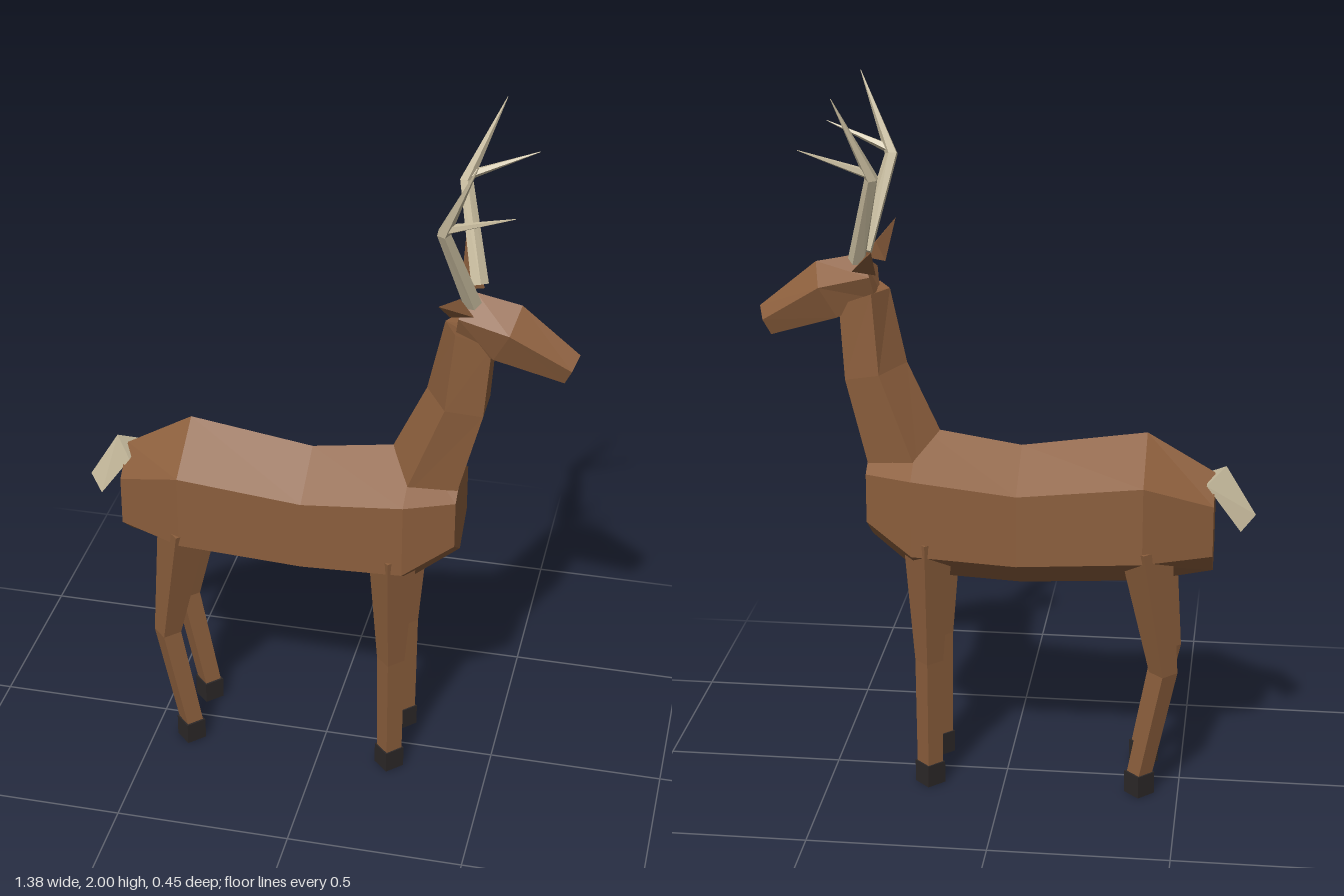
import * as THREE from 'three';

const mat = (name, color) => {
  const m = new THREE.MeshStandardMaterial({ color });
  m.name = name;
  m.flatShading = true;
  return m;
};

// Skin a list of equal-length rings of [x, y, z] points, with closed ends and flat facets.
function loft(rings) {
  const tris = [];
  const n = rings[0].length;
  for (let i = 0; i < rings.length - 1; i++) {
    for (let j = 0; j < n; j++) {
      const k = (j + 1) % n;
      const [a, b, c, d] = [rings[i][j], rings[i][k], rings[i + 1][k], rings[i + 1][j]];
      tris.push([a, b, c], [a, c, d]);
    }
  }
  const last = rings[rings.length - 1];
  for (let j = 1; j < n - 1; j++) {
    tris.push([rings[0][0], rings[0][j + 1], rings[0][j]], [last[0], last[j], last[j + 1]]);
  }
  // Turn every face outward whichever way the rings were wound
  let volume = 0;
  for (const [a, b, c] of tris) {
    volume += new THREE.Vector3(...a).dot(new THREE.Vector3(...b).cross(new THREE.Vector3(...c)));
  }
  const ordered = volume < 0 ? tris.map(([a, b, c]) => [a, c, b]) : tris;
  const geo = new THREE.BufferGeometry();
  geo.setAttribute('position', new THREE.Float32BufferAttribute(ordered.flat(2), 3));
  geo.computeVertexNormals();
  return geo;
}

// Ring of points around a centre, square to a direction
function ring(center, radius, sides, dir = [0, 1, 0]) {
  const q = new THREE.Quaternion().setFromUnitVectors(
    new THREE.Vector3(0, 1, 0), new THREE.Vector3(...dir).normalize());
  return Array.from({ length: sides }, (_, i) => {
    const a = (i / sides) * Math.PI * 2;
    return new THREE.Vector3(Math.cos(a) * radius, 0, Math.sin(a) * radius)
      .applyQuaternion(q).add(new THREE.Vector3(...center)).toArray();
  });
}

// Five-sided ring, symmetric in z: a ridge point, a side pair and a flat pair
const pentagon = ([rx, ry], [sx, sy, sz], [fx, fy, fz]) =>
  [[rx, ry, 0], [sx, sy, sz], [fx, fy, fz], [fx, fy, -fz], [sx, sy, -sz]];

export function createModel() {
  const brown = mat('brown coat', 0x8b5e3c);
  const bone = mat('pale bone', 0xc8bc9e);
  const dark = mat('dark hoof', 0x2c2828);

  const model = new THREE.Group();
  model.name = 'deer';
  const add = (name, geo, material) => {
    const mesh = new THREE.Mesh(geo, material);
    mesh.name = name;
    model.add(mesh);
  };

  // Body: hexagonal sections [x, centre height, radius, half width]
  const sections = [
    [-0.58, 0.795, 0.145, 0.085],
    [-0.39, 0.83, 0.22, 0.165],
    [-0.04, 0.795, 0.205, 0.15],
    [0.25, 0.825, 0.22, 0.165],
    [0.385, 0.86, 0.14, 0.1],
  ];
  add('body', loft(sections.map(([x, y, r, w]) => [
    [x, y + r, 0], [x, y + r / 2, w], [x, y - r / 2, w],
    [x, y - r, 0], [x, y - r / 2, -w], [x, y + r / 2, -w],
  ])), brown);

  // Neck: ridge at the back, flat at the throat
  add('neck', loft([
    pentagon([0.15, 0.95], [0.235, 0.93], [0.37, 0.9]).map((p, i) => [p[0], p[1], [0, 0.112, 0.07, -0.07, -0.112][i]]),
    pentagon([0.28, 1.23], [0.345, 1.215, 0.092], [0.445, 1.19, 0.058]),
    pentagon([0.325, 1.44], [0.365, 1.44, 0.075], [0.46, 1.4, 0.046]),
  ]), brown);

  // Head: ridge on top, flat under the jaw
  add('head', loft([
    pentagon([0.405, 1.535], [0.37, 1.485, 0.068], [0.36, 1.42, 0.042]),
    pentagon([0.53, 1.51], [0.51, 1.455, 0.08], [0.465, 1.365, 0.05]),
    pentagon([0.69, 1.38], [0.675, 1.35, 0.043], [0.655, 1.305, 0.027]),
  ]), brown);

  // Tail: three-sided wedge
  add('tail', loft([
    [[-0.61, 0.96, 0], [-0.558, 0.92, 0.06], [-0.558, 0.92, -0.06]],
    [[-0.695, 0.82, 0], [-0.655, 0.78, 0.034], [-0.655, 0.78, -0.034]],
  ]), bone);

  for (const [side, s] of [['left', -1], ['right', 1]]) {
    // Legs with diamond sections, and hooves
    add(side + 'FrontLeg', loft([
      ring([0.212, 0.75, s * 0.103], 0.07, 4),
      ring([0.212, 0.38, s * 0.103], 0.04, 4),
      ring([0.212, 0.06, s * 0.103], 0.037, 4),
    ]), brown);
    add(side + 'HindLeg', loft([
      ring([-0.395, 0.75, s * 0.1], 0.075, 4),
      ring([-0.452, 0.375, s * 0.103], 0.04, 4),
      ring([-0.39, 0.06, s * 0.103], 0.036, 4),
    ]), brown);
    for (const [part, x] of [['FrontHoof', 0.212], ['HindHoof', -0.39]]) {
      add(side + part, loft([
        ring([x, 0.065, s * 0.103], 0.043, 4),
        ring([x, 0, s * 0.103], 0.043, 4),
      ]), dark);
    }

    // Ear
    const tip = [0.34, 1.59, s * 0.205];
    add(side + 'Ear', loft([
      [[0.415, 1.505, s * 0.085], [0.35, 1.495, s * 0.08], [0.375, 1.55, s * 0.075]],
      [tip, tip, tip],
    ]), brown);

    // Antler: bent beam and one forward prong
    add(side + 'Antler', loft([
      ring([0.405, 1.53, s * 0.055], 0.025, 5, [-0.06, 0.25, s * 0.11]),
      ring([0.342, 1.78, s * 0.165], 0.019, 5, [0.02, 0.45, s * 0.16]),
      ring([0.435, 2, s * 0.225], 0.001, 5, [0.09, 0.22, s * 0.06]),
    ]), bone);
    add(side + 'AntlerProng', loft([
      ring([0.342, 1.79, s * 0.168], 0.014, 5, [0.18, 0.07, s * 0.04]),
      ring([0.53, 1.86, s * 0.207], 0.001, 5, [0.18, 0.07, s * 0.04]),
    ]), bone);
  }

  return model;
}
